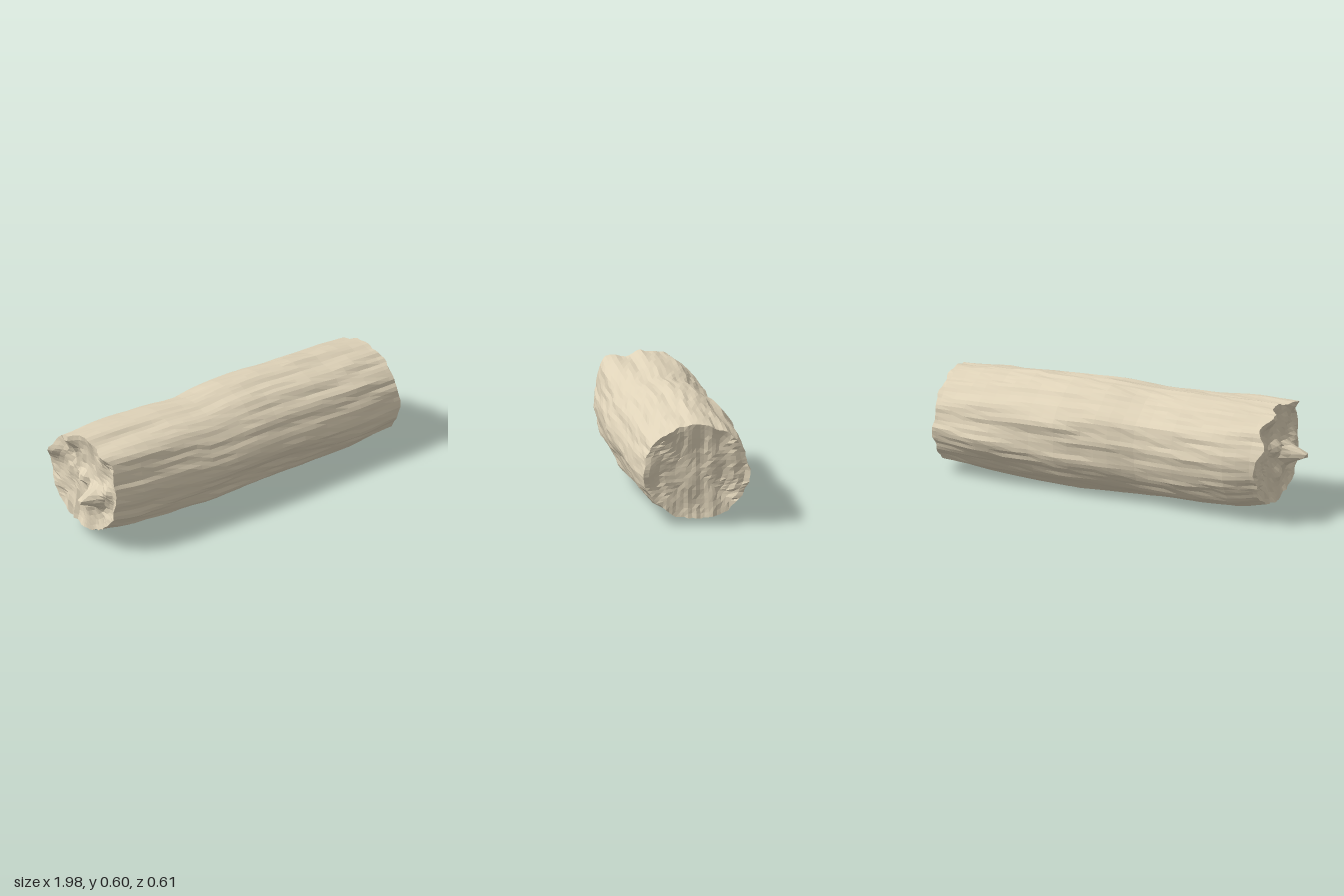
import * as THREE from 'three';

const SIDES = 80, STEPS = 26, GRID = SIDES / 4;
const TAU = Math.PI * 2, RAD = Math.PI / 180;

// Stations along the log: x, bottom, top, back, front
const STATIONS = [
  [-0.88, 0.065, 0.61, -0.28, 0.272],
  [-0.70, 0.03, 0.61, -0.298, 0.288],
  [-0.45, 0.015, 0.603, -0.29, 0.294],
  [-0.18, 0.01, 0.588, -0.268, 0.304],
  [0.05, 0.005, 0.598, -0.287, 0.304],
  [0.25, 0.003, 0.592, -0.298, 0.298],
  [0.42, 0.002, 0.582, -0.288, 0.302],
  [0.70, 0.01, 0.562, -0.296, 0.308],
  [0.97, 0.028, 0.54, -0.28, 0.293],
];

// Swellings and grooves: angle, x, angular width, length, height, bend
const BUMPS = [
  [46, -0.78, 14, 0.38, 0.05, 0],
  [70, -0.7, 9, 0.4, -0.018, 0],
  [147, -0.1, 12, 0.5, 0.018, 10],
  [187, 0.68, 9, 0.22, 0.022, 0],
  [172, 0.5, 7, 0.3, -0.01, 0],
  [160, 0.35, 9, 0.25, 0.018, 0],
  [-20, 0.1, 10, 0.55, -0.018, -35],
  [-3, 0.1, 10, 0.4, 0.008, -20],
  [-18, -0.65, 9, 0.22, -0.012, 0],
  [-64, 0.1, 16, 0.7, -0.014, 0],
  [46, 0.55, 8, 0.4, -0.008, 15],
  [80, 0.6, 8, 0.4, -0.006, -10],
  [-112, 0.2, 14, 0.5, 0.012, 0],
];

// Splinters on the broken left end: y, z, width, length
const SPLINTERS = [
  [0.31, 0.11, 0.045, 0.155], [0.56, -0.1, 0.05, 0.06], [0.57, 0.17, 0.05, 0.04],
  [0.37, -0.01, 0.035, 0.06], [0.44, -0.24, 0.05, 0.05], [0.22, 0.03, 0.035, 0.03],
  [0.36, 0.2, 0.04, 0.03],
];

const hash = (a, b) => {
  const s = Math.sin(a * 127.1 + b * 311.7) * 43758.5453;
  return (s - Math.floor(s)) * 2 - 1;
};
const gauss = (d, w) => Math.exp(-(d * d) / (w * w));

function extents(x) {
  let i = 0;
  while (i < STATIONS.length - 2 && x > STATIONS[i + 1][0]) i++;
  const [a, b] = [STATIONS[i], STATIONS[i + 1]];
  const t = THREE.MathUtils.smoothstep(x, a[0], b[0]);
  return a.map((v, k) => v + (b[k] - v) * t);
}

// Bark relief: shallow ridges that drift slowly around the trunk
function relief(angle, x) {
  let h = -0.009
    + 0.003 * Math.sin(7 * angle + 2.5 * x + 1)
    + 0.003 * Math.sin(13 * angle - 3 * x + 2 * Math.sin(3 * x))
    + 0.002 * Math.sin(23 * angle + 3 * x + 2 * Math.sin(4 * x + 3 * angle));
  const column = Math.round(angle / TAU * SIDES) % SIDES;
  h += 0.003 * hash(column, Math.round(x * 6 + hash(column, 2)));
  for (const [deg, bx, aw, len, height, bend] of BUMPS) {
    let d = (angle - (deg + bend * (x - bx) ** 2) * RAD) % TAU;
    if (d > Math.PI) d -= TAU;
    if (d < -Math.PI) d += TAU;
    h += height * gauss(d, aw * RAD) * gauss(x - bx, len);
  }
  return h;
}

// Point on the cross-section at x; r = 1 is the bark, r = 0 the core
function section(angle, x, r = 1) {
  const [, bottom, top, back, front] = extents(x);
  const h = relief(angle, x);
  return new THREE.Vector3(
    x,
    (bottom + top) / 2 + r * Math.sin(angle) * ((top - bottom) / 2 + h),
    (back + front) / 2 + r * Math.cos(angle) * ((front - back) / 2 + h));
}

// Ragged, slightly hollow end surface, streaked along the upright grain
function endPoint(side, angle, r) {
  const p = section(angle, side > 0 ? 0.966 : -0.873, r);
  const col = Math.round(p.z / 0.028), row = Math.round(p.y / 0.06);
  p.x -= side * 0.014 * (1 - r ** 4);
  if (side > 0) {
    p.x += 0.004 * hash(col, 3) + 0.003 * hash(col, row)
      + 0.005 * Math.sin(26 * p.y + 2) * Math.sin(18 * p.z + 1) + 0.003 * Math.sin(60 * p.z);
    p.x += 0.022 * gauss(p.y - 0.29, 0.06) * gauss(p.z - 0.27, 0.05);
    p.x += 0.018 * gauss(p.y - 0.49, 0.04) * gauss(p.z - 0.17, 0.06);
  } else {
    p.x += 0.005 * hash(col, 5) + 0.005 * hash(col, row + 9) + 0.006 * Math.sin(30 * p.y) * Math.sin(40 * p.z);
    for (const [y, z, w, len] of SPLINTERS) p.x -= len * gauss(Math.hypot(p.y - y, p.z - z), w);
  }
  p.x = THREE.MathUtils.clamp(p.x, -1, 1);
  return p;
}

// Grid of points to a flat-shaded mesh
function gridMesh(name, nu, nv, point, material, flip = false) {
  const positions = [], index = [];
  for (let j = 0; j <= nv; j++)
    for (let i = 0; i <= nu; i++) positions.push(...point(i, j).toArray());
  for (let j = 0; j < nv; j++)
    for (let i = 0; i < nu; i++) {
      const a = j * (nu + 1) + i, b = a + 1, c = a + nu + 1, d = c + 1;
      if (flip) index.push(a, c, b, b, c, d);
      else index.push(a, b, c, b, d, c);
    }
  let geometry = new THREE.BufferGeometry();
  geometry.setAttribute('position', new THREE.Float32BufferAttribute(positions, 3));
  geometry.setIndex(index);
  geometry = geometry.toNonIndexed();
  geometry.computeVertexNormals();
  const mesh = new THREE.Mesh(geometry, material);
  mesh.name = name;
  return mesh;
}

// Square grid to disc, so the rim meets the bark vertices
function disc(i, j) {
  const a = 2 * i / GRID - 1, b = 2 * j / GRID - 1;
  if (Math.abs(a) < 1e-9 && Math.abs(b) < 1e-9) return [0, 0];
  let r, angle;
  if (Math.abs(a) >= Math.abs(b)) { r = a; angle = (Math.PI / 4) * (b / a); }
  else { r = b; angle = Math.PI / 2 - (Math.PI / 4) * (a / b); }
  if (r < 0) { r = -r; angle += Math.PI; }
  return [(angle + TAU) % TAU, r];
}

export function createModel() {
  const group = new THREE.Group();
  group.name = 'log';
  const wood = new THREE.MeshStandardMaterial({ color: 0xded2b8, flatShading: true });

  // Bark, stretched between the two ragged rims
  group.add(gridMesh('bark', STEPS, SIDES, (i, j) => {
    const angle = ((j % SIDES) / SIDES) * TAU;
    if (i === 0) return endPoint(-1, angle, 1);
    if (i === STEPS) return endPoint(1, angle, 1);
    return section(angle, THREE.MathUtils.lerp(-0.85, 0.94, (i - 1) / (STEPS - 2)));
  }, wood));

  // Broken and sawn ends
  for (const [name, side] of [['brokenEnd', -1], ['sawnEnd', 1]])
    group.add(gridMesh(name, GRID, GRID, (i, j) => endPoint(side, ...disc(i, j)), wood, side > 0));

  return group;
}
